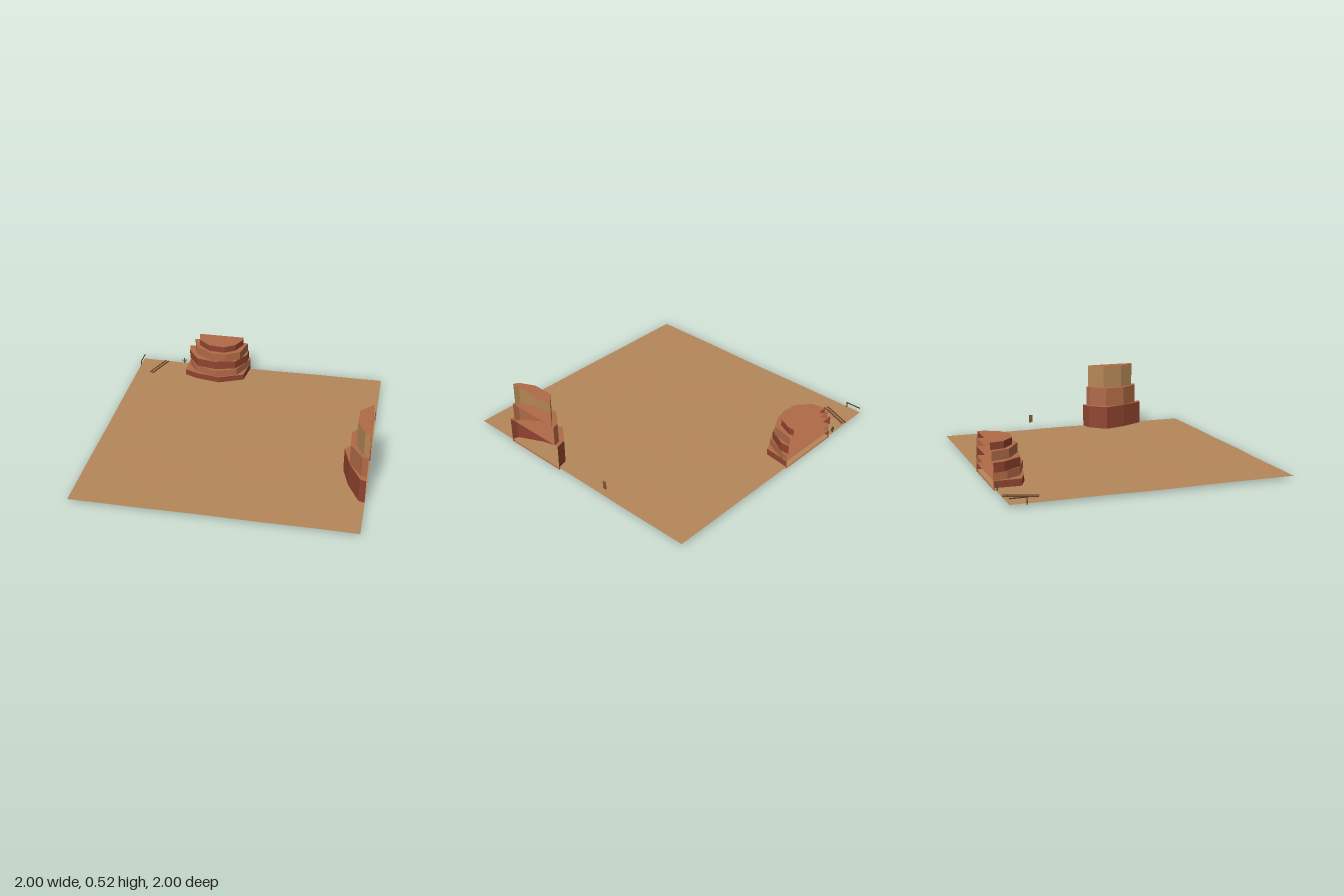
import * as THREE from 'three';

const mat = (name, color, side = THREE.FrontSide) => {
  const m = new THREE.MeshStandardMaterial({ color, side, flatShading: true });
  m.name = name;
  return m;
};

// One rock layer: open walls along the outline (cut at the tile edge), capped above and below.
function rockLayer(outline, y0, y1, wallMat, capMat, name) {
  const pos = [];
  const tri = (...pts) => pts.forEach((p) => pos.push(...p));
  for (let i = 0; i < outline.length - 1; i++) {
    const [ax, az] = outline[i], [bx, bz] = outline[i + 1];
    tri([ax, y0, az], [bx, y0, bz], [bx, y1, bz]);
    tri([ax, y0, az], [bx, y1, bz], [ax, y1, az]);
  }
  const wallCount = pos.length / 3;
  const [ox, oz] = outline[0];
  for (let i = 1; i < outline.length - 1; i++) {
    const [ax, az] = outline[i], [bx, bz] = outline[i + 1];
    tri([ox, y1, oz], [ax, y1, az], [bx, y1, bz]);
    tri([ox, y0, oz], [bx, y0, bz], [ax, y0, az]);
  }
  const geo = new THREE.BufferGeometry();
  geo.setAttribute('position', new THREE.Float32BufferAttribute(pos, 3));
  geo.addGroup(0, wallCount, 0);
  geo.addGroup(wallCount, pos.length / 3 - wallCount, 1);
  geo.computeVertexNormals();
  const mesh = new THREE.Mesh(geo, [wallMat, capMat]);
  mesh.name = name;
  return mesh;
}

function box(parent, name, material, size, at, rotY = 0) {
  const mesh = new THREE.Mesh(new THREE.BoxGeometry(...size), material);
  mesh.position.set(...at);
  mesh.rotation.y = rotY;
  mesh.name = name;
  parent.add(mesh);
  return mesh;
}

function group(parent, name) {
  const g = new THREE.Group();
  g.name = name;
  parent.add(g);
  return g;
}

export function createModel() {
  const root = new THREE.Group();
  root.name = 'desertTile';
  const sand = mat('sand', 0xb5875a, THREE.DoubleSide);
  const red = mat('redRock', 0x90442f, THREE.DoubleSide);
  const orange = mat('orangeRock', 0xb06a46, THREE.DoubleSide);
  const tan = mat('tanRock', 0xb58656, THREE.DoubleSide);
  const wood = mat('darkWood', 0x5a3a26);
  const rust = mat('rustyWood', 0x8a5638);
  const green = mat('cactusGreen', 0x4a5a32);

  // Gently uneven ground sheet
  const groundGeo = new THREE.PlaneGeometry(2, 2, 12, 12).rotateX(-Math.PI / 2);
  const p = groundGeo.attributes.position;
  for (let i = 0; i < p.count; i++) {
    const x = p.getX(i), z = p.getZ(i);
    p.setY(i, 0.017 + 0.0025 * Math.sin(x * 5 + z * 2) * Math.cos(z * 6 - x * 3));
  }
  groundGeo.computeVertexNormals();
  const ground = new THREE.Mesh(groundGeo, sand);
  ground.name = 'ground';
  root.add(ground);

  // Wide banded mesa at the back edge
  const mesa = group(root, 'mesa');
  const mesaHeights = [0, 0.064, 0.12, 0.187, 0.253, 0.303];
  [
    [[-0.594, -1], [-0.594, -0.81], [-0.49, -0.765], [-0.3, -0.728], [-0.11, -0.81], [-0.087, -1]],
    [[-0.58, -1], [-0.57, -0.9], [-0.51, -0.8], [-0.33, -0.73], [-0.166, -0.79], [-0.082, -0.97], [-0.085, -1]],
    [[-0.594, -1], [-0.58, -0.92], [-0.49, -0.79], [-0.337, -0.762], [-0.176, -0.8], [-0.1, -0.93], [-0.1, -1]],
    [[-0.55, -1], [-0.51, -0.87], [-0.364, -0.775], [-0.257, -0.78], [-0.144, -0.84], [-0.107, -1]],
    [[-0.51, -1], [-0.49, -0.9], [-0.396, -0.82], [-0.272, -0.807], [-0.187, -0.86], [-0.142, -0.96], [-0.145, -1]],
  ].forEach((o, i) => mesa.add(
    rockLayer(o, mesaHeights[i], mesaHeights[i + 1], i % 2 ? orange : red, orange, 'mesaLayer' + (i + 1))));

  // Tall stepped butte at the left edge
  const butte = group(root, 'butte');
  const butteHeights = [0, 0.197, 0.347, 0.525];
  const butteMats = [red, orange, tan];
  [
    [[1, 0.158], [0.92, 0.18], [0.82, 0.303], [0.87, 0.476], [0.957, 0.648], [1, 0.662]],
    [[1, 0.187], [0.95, 0.2], [0.863, 0.31], [0.87, 0.47], [0.96, 0.605], [1, 0.617]],
    [[1, 0.203], [0.908, 0.305], [0.908, 0.46], [0.965, 0.575], [1, 0.589]],
  ].forEach((o, i) => butte.add(
    rockLayer(o, butteHeights[i], butteHeights[i + 1], butteMats[i], orange, 'butteLayer' + (i + 1))));

  // Narrow track in the back right corner: ties under two rails
  const track = group(root, 'track');
  track.position.set(-0.84, 0.019, -0.885);
  track.rotation.y = -0.36;
  for (let i = 0; i < 12; i++) {
    box(track, 'tie', rust, [0.045, 0.004, 0.006], [0, 0, -0.11 + i * 0.02]);
  }
  for (const s of [-1, 1]) box(track, 'rail', wood, [0.003, 0.005, 0.235], [s * 0.014, 0.003, 0]);

  // Post with a cross beam at the corner
  const gate = group(root, 'gate');
  box(gate, 'gatePost', wood, [0.006, 0.05, 0.006], [-0.994, 0.035, -0.885]);
  box(gate, 'gateBeam', wood, [0.006, 0.006, 0.12], [-0.994, 0.057, -0.94]);

  // Small cactus by the back edge
  const cactus = group(root, 'cactus');
  cactus.position.set(-0.65, 0.015, -0.992);
  box(cactus, 'cactusTrunk', green, [0.008, 0.048, 0.008], [0, 0.024, 0]);
  for (const s of [-1, 1]) {
    box(cactus, 'cactusElbow', green, [0.016, 0.005, 0.005], [s * 0.008, 0.02, 0]);
    box(cactus, 'cactusArm', green, [0.005, 0.018, 0.005], [s * 0.014, 0.028, 0]);
  }

  // Small hanging panel at the left edge
  box(root, 'hangingPanel', rust, [0.006, 0.06, 0.027], [0.997, 0.11, -0.3]);
  return root;
}
